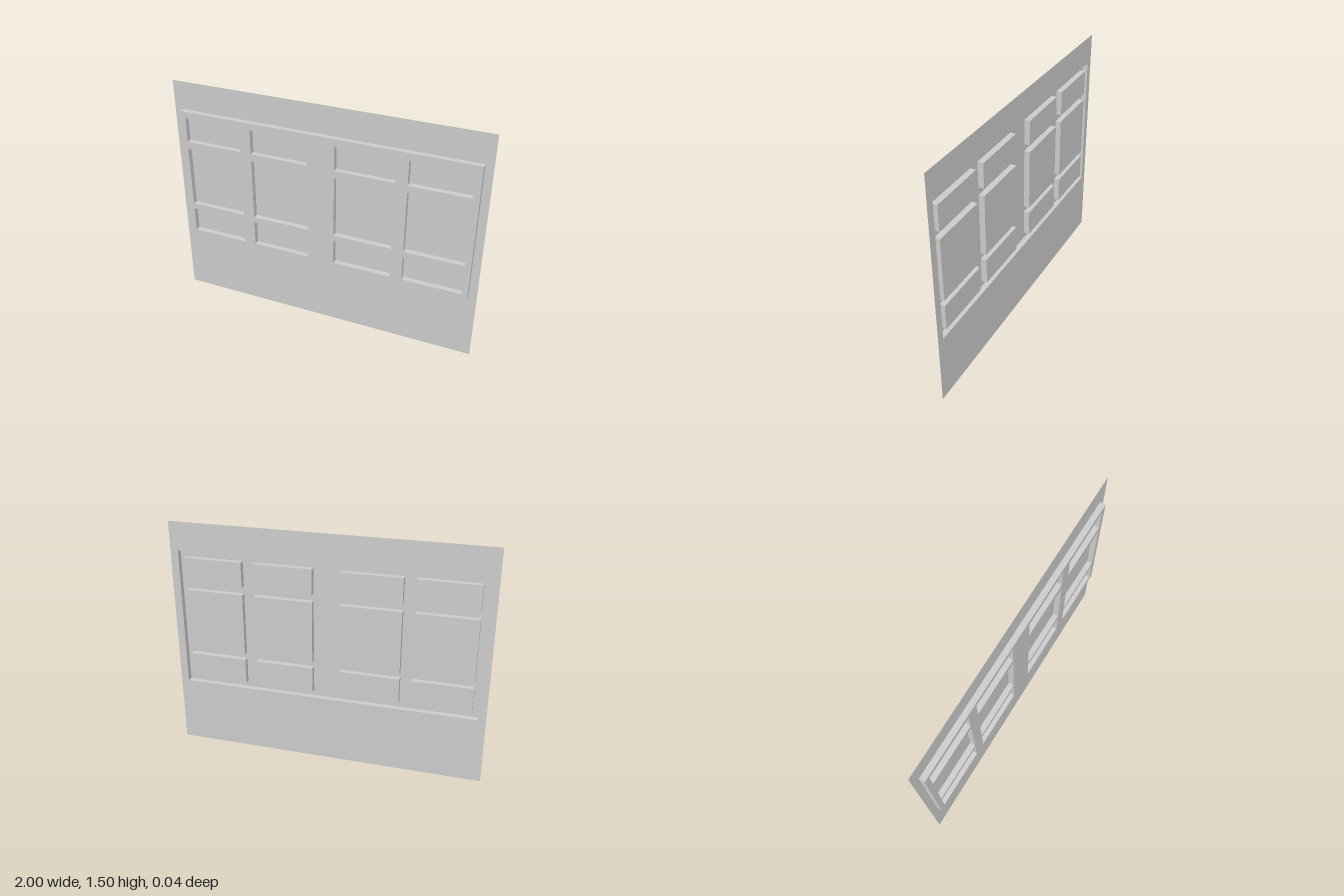
import * as THREE from 'three';

const DEPTH = 0.018; // half of the relief depth
const material = new THREE.MeshStandardMaterial({
  color: 0xcccccc, flatShading: true, side: THREE.DoubleSide,
});

// Rectangles are [x0, y0, x1, y1]
const corners = ([x0, y0, x1, y1]) => [
  new THREE.Vector2(x0, y0), new THREE.Vector2(x1, y0),
  new THREE.Vector2(x1, y1), new THREE.Vector2(x0, y1),
];

// Flat face at depth z, with rectangular openings
function face(name, rect, z, holes = []) {
  const shape = new THREE.Shape(corners(rect));
  for (const hole of holes) shape.holes.push(new THREE.Path(corners(hole).reverse()));
  const mesh = new THREE.Mesh(new THREE.ShapeGeometry(shape), material);
  mesh.name = name;
  mesh.position.z = z;
  return mesh;
}

// Four walls around a rectangle joining the back plane to the front plane;
// inward walls face the middle of the rectangle
function walls(name, rect, inward) {
  const group = new THREE.Group();
  group.name = name;
  const pts = corners(rect);
  pts.forEach((a, i) => {
    const b = pts[(i + 1) % 4];
    const wall = new THREE.Mesh(new THREE.PlaneGeometry(a.distanceTo(b), 2 * DEPTH), material);
    wall.name = name;
    wall.rotation.set(Math.PI / 2, 0, Math.atan2(b.y - a.y, b.x - a.x), 'ZYX');
    if (inward) wall.rotateY(Math.PI);
    wall.position.set((a.x + b.x) / 2, (a.y + b.y) / 2, 0);
    group.add(wall);
  });
  return group;
}

export function createModel() {
  const model = new THREE.Group();
  const sheet = [-1, 0, 1, 1.505];
  const panel = [-0.95, 0.428, 0.95, 1.323];

  // Four columns, mirrored about the middle, by three rows of recesses
  const columns = [[-0.913, -0.538], [-0.463, -0.088], [0.088, 0.463], [0.538, 0.913]];
  const rows = [[0.467, 0.632], [0.67, 1.071], [1.119, 1.28]];
  const recesses = columns.flatMap(([x0, x1]) => rows.map(([y0, y1]) => [x0, y0, x1, y1]));

  // Backing sheet, pressed forward into a raised panel
  model.add(face('backingSheet', sheet, -DEPTH, [panel]));
  model.add(walls('panelEdge', panel, false));
  model.add(face('raisedPanel', panel, DEPTH, recesses));

  // Recessed panes, level with the sheet
  for (const rect of recesses) {
    const recess = new THREE.Group();
    recess.name = 'recess';
    recess.add(face('pane', rect, -DEPTH), walls('recessEdge', rect, true));
    model.add(recess);
  }
  return model;
}
